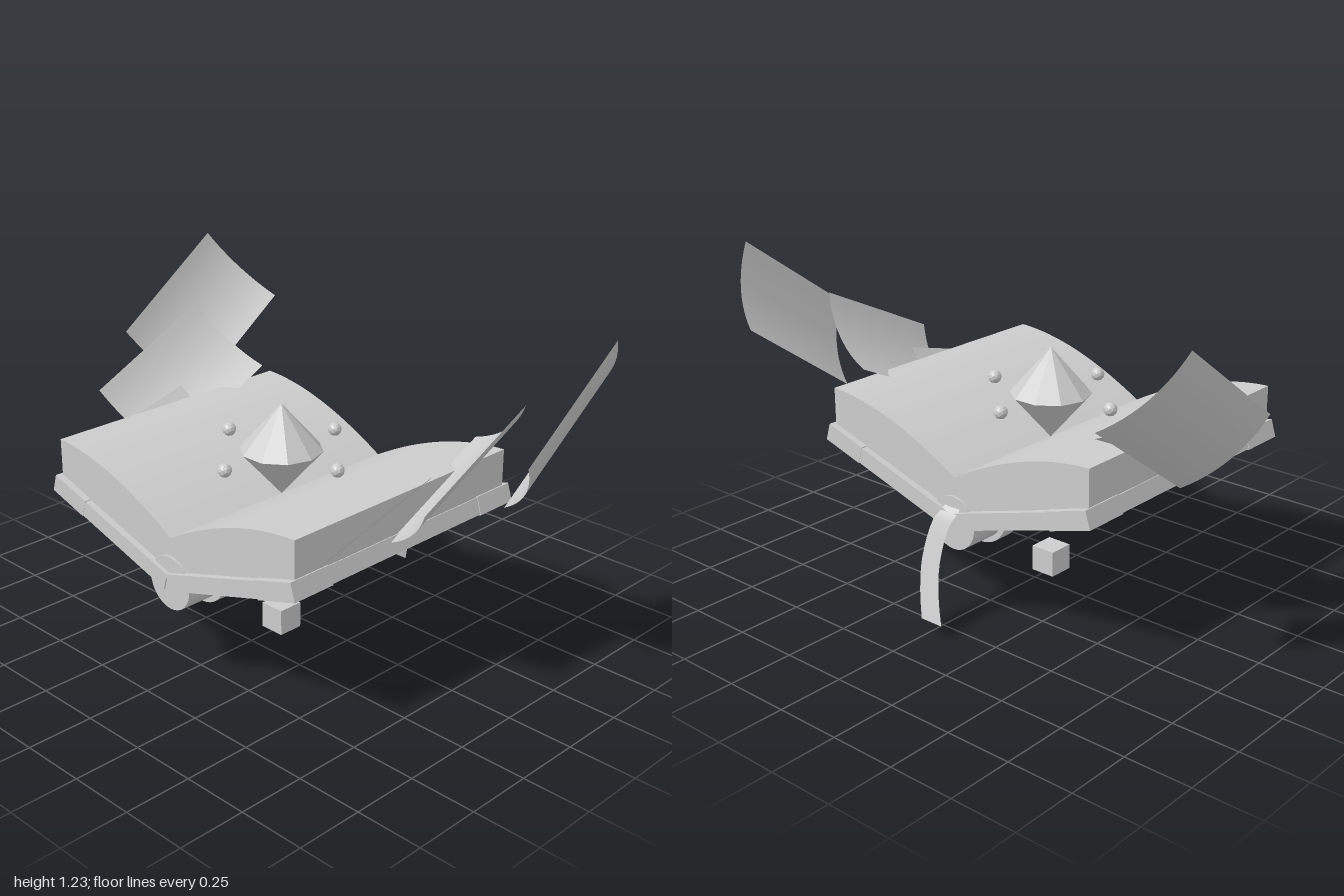
import * as THREE from 'three';

const grey = new THREE.MeshStandardMaterial({ color: 0xcccccc });
grey.name = 'grey';
const flat = new THREE.MeshStandardMaterial({ color: 0xcccccc, flatShading: true });
flat.name = 'faceted grey';
const sheet = new THREE.MeshStandardMaterial({ color: 0xcccccc, side: THREE.DoubleSide });
sheet.name = 'thin sheet grey';

const MID = 0.095; // z of the book's middle

function add(parent, name, geometry, material, x = 0, y = 0, z = 0) {
  const mesh = new THREE.Mesh(geometry, material);
  mesh.name = name;
  mesh.position.set(x, y, z);
  parent.add(mesh);
  return mesh;
}

function extrude(shape, depth) {
  return new THREE.ExtrudeGeometry(shape, { depth, bevelEnabled: false, curveSegments: 16 })
    .translate(0, 0, MID - depth / 2);
}

// Open surface from a rule (u, v) -> point
function surface(rule, nu, nv) {
  const g = new THREE.PlaneGeometry(1, 1, nu, nv);
  const p = g.attributes.position;
  for (let i = 0; i < p.count; i++) {
    const q = rule(p.getX(i) + 0.5, p.getY(i) + 0.5);
    p.setXYZ(i, q.x, q.y, q.z);
  }
  g.computeVertexNormals();
  return g;
}

// Curled loose page: outer far corner, edge towards the spine, edge towards the front
function loosePage(side, corner, inward, forward) {
  const c = new THREE.Vector3(...corner);
  const a = new THREE.Vector3(...inward);
  const b = new THREE.Vector3(...forward);
  const n = b.clone().cross(a).normalize();
  return surface((u, v) => {
    const q = c.clone().addScaledVector(a, u).addScaledVector(b, v)
      .addScaledVector(n, 0.035 * 4 * u * (1 - u));
    q.x *= side;
    return q;
  }, 12, 4);
}

export function createModel() {
  const model = new THREE.Group();
  model.name = 'floatingBook';

  // Open V-shaped cover
  const cover = new THREE.Shape([
    [0, 0.353], [0.616, 0.541], [0.6, 0.597], [0, 0.408], [-0.6, 0.597], [-0.616, 0.541],
  ].map(([x, y]) => new THREE.Vector2(x, y)));
  add(model, 'cover', extrude(cover, 1.09), grey);

  // Page block with two arched halves
  const pages = new THREE.Shape();
  pages.moveTo(0, 0.4);
  pages.lineTo(0.596, 0.59);
  pages.lineTo(0.596, 0.738);
  pages.quadraticCurveTo(0.32, 0.73, 0, 0.545);
  pages.quadraticCurveTo(-0.32, 0.73, -0.596, 0.738);
  pages.lineTo(-0.596, 0.59);
  add(model, 'pageBlock', extrude(pages, 1.05), grey);

  // Edge trims and corner plates, laid along each tilted half
  const tilt = Math.atan2(0.188, 0.616);
  for (const side of [1, -1]) {
    const half = new THREE.Group();
    half.name = side > 0 ? 'leftTrim' : 'rightTrim';
    half.position.set(0, 0.353, MID);
    half.rotation.z = side * tilt;
    for (const end of [1, -1]) {
      add(half, 'endTrim', new THREE.BoxGeometry(0.47, 0.062, 0.042), grey,
        side * 0.25, 0.029, end * 0.529);
      add(half, 'cornerPlate', new THREE.BoxGeometry(0.176, 0.068, 0.175), grey,
        side * 0.562, 0.029, end * 0.4635);
    }
    add(half, 'outerTrim', new THREE.BoxGeometry(0.014, 0.062, 0.76), grey, side * 0.64, 0.029, 0);
    model.add(half);
  }

  // Rounded spine with raised bands
  const rod = (r, len) => new THREE.CylinderGeometry(r, r, len, 32).rotateX(Math.PI / 2);
  add(model, 'spine', rod(0.1, 1.07), grey, 0, 0.377, MID);
  for (let i = -2; i <= 2; i++) {
    add(model, 'spineBand', rod(0.12, 0.068), grey, 0, 0.376, MID + i * 0.179);
  }

  // Ribbon bookmark hanging from the back
  const path = new THREE.CatmullRomCurve3([
    [0, 0.45, -0.425], [0.005, 0.42, -0.455], [0.022, 0.385, -0.475],
    [0.034, 0.25, -0.52], [0.01, 0.14, -0.556], [-0.025, 0.053, -0.585],
  ].map(p => new THREE.Vector3(...p)));
  add(model, 'ribbon', surface((u, v) => {
    const q = path.getPoint(1 - v);
    q.x += (u - 0.5) * (0.07 + 0.025 * (1 - v));
    return q;
  }, 1, 20), sheet);

  // Loose pages flying off both sides
  const sheets = [
    [[1, 1.228, -0.47], [-0.215, -0.258, -0.175], [0, -0.323, 0.45]],
    [[0.82, 1.016, -0.235], [-0.28, -0.219, -0.1], [0, -0.241, 0.5]],
    [[0.635, 0.778, 0.01], [-0.33, -0.17, -0.045], [0, -0.145, 0.537]],
  ];
  for (const side of [1, -1]) {
    for (const s of sheets) {
      add(model, side > 0 ? 'leftLoosePage' : 'rightLoosePage', loosePage(side, ...s), sheet);
    }
  }

  // Ten-sided crystal hovering over the fold
  const crystal = new THREE.Group();
  crystal.name = 'crystal';
  crystal.position.set(0, 0.718, MID - 0.005);
  crystal.rotation.y = Math.PI / 10;
  add(crystal, 'crystalTop', new THREE.ConeGeometry(0.152, 0.175, 10, 1, true), flat, 0, 0.0875, 0);
  add(crystal, 'crystalBottom',
    new THREE.ConeGeometry(0.152, 0.173, 10, 1, true).rotateX(Math.PI), flat, 0, -0.0865, 0);
  model.add(crystal);

  // Four small orbs around the crystal
  for (let i = 0; i < 4; i++) {
    const a = i * Math.PI / 2;
    add(model, 'orb', new THREE.IcosahedronGeometry(0.026, 1), flat,
      0.276 * Math.cos(a), 0.718, MID - 0.005 + 0.276 * Math.sin(a));
  }

  // Small cube below the book
  add(model, 'cube', new THREE.BoxGeometry(0.1, 0.1, 0.1), grey, 0, 0.05, MID);

  return model;
}
